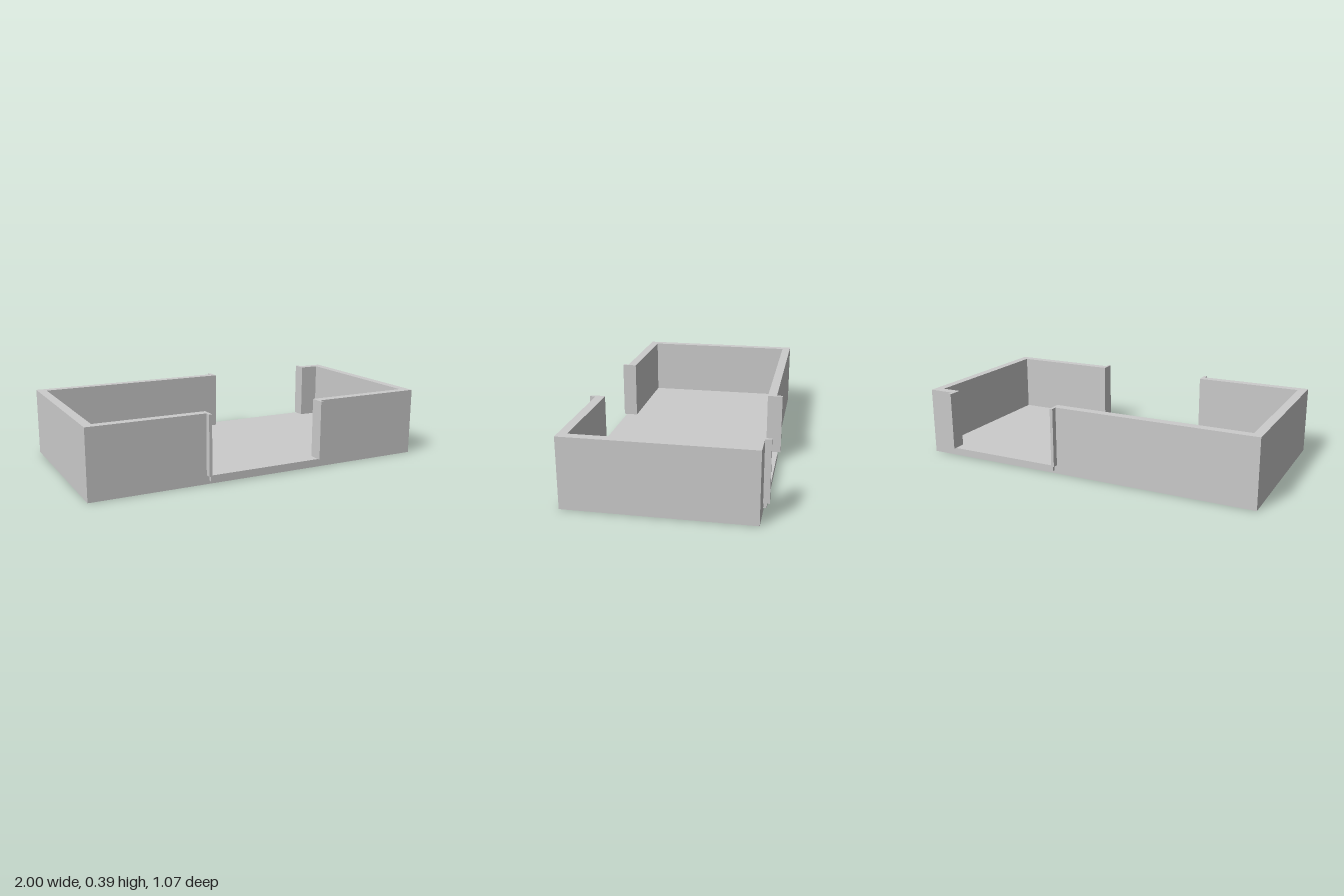
import * as THREE from 'three';

const HEIGHT = 0.385, FLOOR = 0.05, WALL = 0.05;
const HALF_X = 1, HALF_Z = 0.5;
const LIP = 0.017, JAMB_DEPTH = 0.033;
const OPENING = 0.67;

export function createModel() {
  const group = new THREE.Group();
  const material = new THREE.MeshStandardMaterial({ color: 0xcccccc, flatShading: true });

  const add = (name, geometry) => {
    const mesh = new THREE.Mesh(geometry, material);
    mesh.name = name;
    group.add(mesh);
    return mesh;
  };

  // Floor slab
  add('floor', new THREE.BoxGeometry(HALF_X * 2, FLOOR, HALF_Z * 2)).position.y = FLOOR / 2;

  // C-shaped wall on one side, ending in a projecting jamb at each opening
  const addWall = (name, side, frontEnd, backEnd) => {
    const outer = side * HALF_X, inner = side * (HALF_X - WALL);
    const innerZ = HALF_Z - WALL, jambZ = HALF_Z + JAMB_DEPTH;
    const frontJamb = frontEnd + side * LIP, backJamb = backEnd + side * LIP;
    const plan = [
      [frontEnd, innerZ], [frontEnd, jambZ], [frontJamb, jambZ], [frontJamb, HALF_Z],
      [outer, HALF_Z], [outer, -HALF_Z],
      [backJamb, -HALF_Z], [backJamb, -jambZ], [backEnd, -jambZ], [backEnd, -innerZ],
      [inner, -innerZ], [inner, innerZ],
    ];
    const shape = new THREE.Shape(plan.map(([x, z]) => new THREE.Vector2(x, -z)));
    const geometry = new THREE.ExtrudeGeometry(shape, { depth: HEIGHT - FLOOR, bevelEnabled: false });
    geometry.rotateX(-Math.PI / 2);
    add(name, geometry).position.y = FLOOR;
  };

  // Openings: centred in front, towards the left at the back
  const frontX = 0, backX = 0.5, half = OPENING / 2;
  addWall('leftWall', 1, frontX + half, backX + half);
  addWall('rightWall', -1, frontX - half, backX - half);

  // Sill projecting under each opening
  const sillHeight = FLOOR - LIP;
  for (const [name, x, dir] of [['frontSill', frontX, 1], ['backSill', backX, -1]]) {
    add(name, new THREE.BoxGeometry(OPENING, sillHeight, LIP))
      .position.set(x, LIP + sillHeight / 2, dir * (HALF_Z + LIP / 2));
  }

  return group;
}
